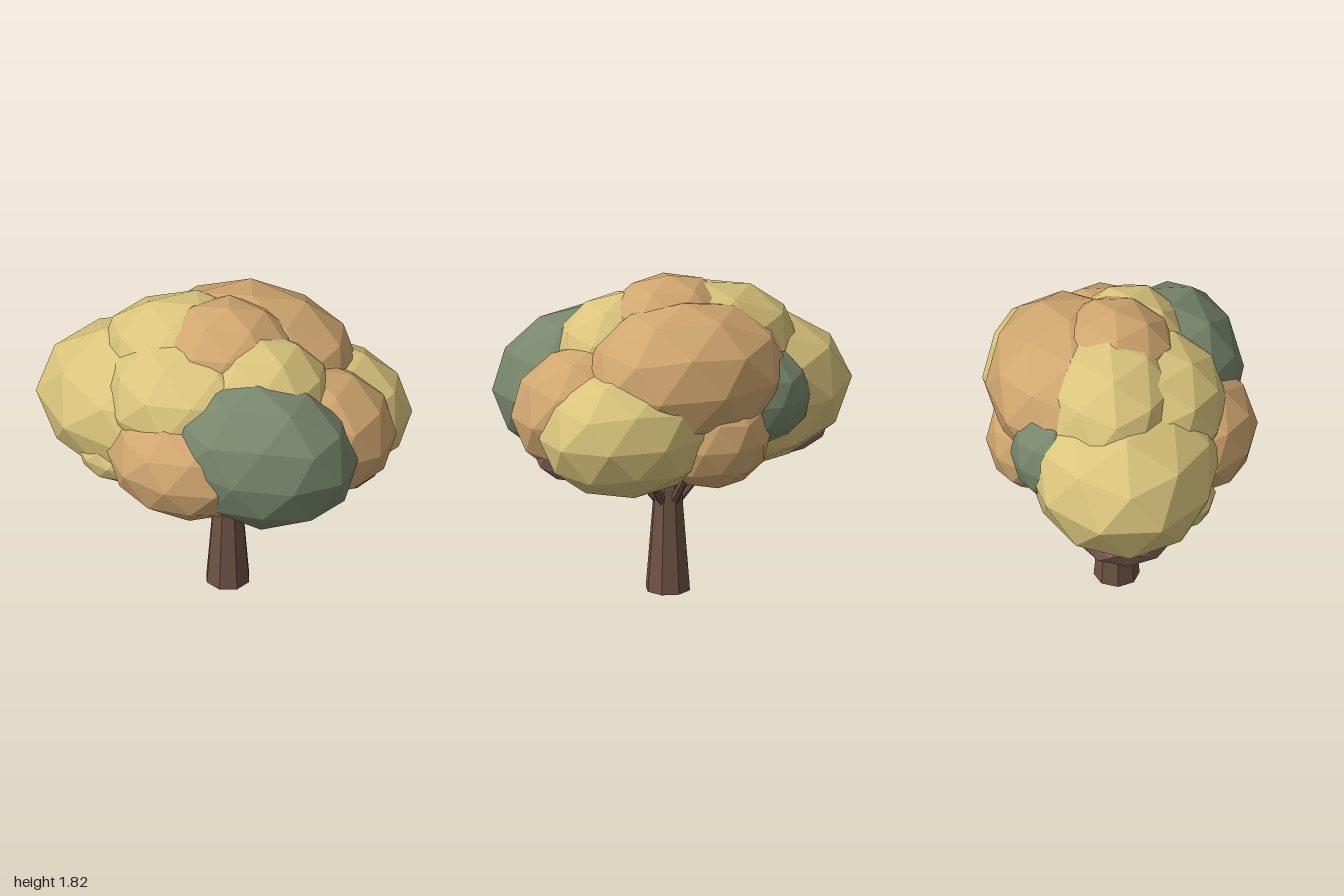
import * as THREE from 'three';

const COLORS = {
  yellow: 0xdac47c, orange: 0xd0a66f, green: 0x78876c, mauve: 0x8c695f, bark: 0x6f5344,
};
const materials = {};
for (const key in COLORS) {
  materials[key] = new THREE.MeshStandardMaterial({ color: COLORS[key], flatShading: true });
}

// Leaf clumps: name, colour, centre, radii
const CLUMPS = [
  ['leftClump', 'yellow', [-0.29, 1.1, -0.025], [0.75, 0.45, 0.55]],
  ['upperLeftClump', 'yellow', [-0.13, 1.37, -0.08], [0.57, 0.39, 0.4]],
  ['upperFrontClump', 'yellow', [-0.08, 1.29, 0.17], [0.5, 0.37, 0.4]],
  ['upperRightClump', 'yellow', [0.29, 1.35, 0.06], [0.41, 0.38, 0.35]],
  ['topClump', 'orange', [0.06, 1.49, -0.04], [0.4, 0.33, 0.35]],
  ['upperBackClump', 'orange', [0.1, 1.32, -0.29], [0.61, 0.42, 0.46]],
  ['frontClump', 'orange', [-0.01, 1.06, 0.37], [0.46, 0.33, 0.37]],
  ['frontRightClump', 'green', [0.37, 1.16, 0.3], [0.57, 0.44, 0.39]],
  ['rightClump', 'orange', [0.53, 1.13, -0.06], [0.49, 0.38, 0.39]],
  ['backRightClump', 'yellow', [0.47, 1.08, -0.34], [0.53, 0.37, 0.4]],
  ['smallBackClump', 'orange', [0.02, 1.0, -0.48], [0.32, 0.28, 0.27]],
  ['smallBackLeftClump', 'green', [-0.32, 1.17, -0.41], [0.28, 0.27, 0.23]],
  ['smallFrontClump', 'yellow', [-0.45, 0.93, 0.25], [0.25, 0.17, 0.23]],
  ['lowerRightClump', 'mauve', [0.65, 0.96, -0.1], [0.28, 0.21, 0.24]],
  ['lowerLeftClump', 'mauve', [-0.56, 0.86, -0.03], [0.36, 0.18, 0.31]],
];

// Faceted ellipsoid with a corner at its top and bottom
const TIP_UP = 0.5536;
function makeClump([name, color, center, radii]) {
  const geometry = new THREE.IcosahedronGeometry(1, 1);
  geometry.rotateZ(TIP_UP);
  geometry.scale(...radii);
  const mesh = new THREE.Mesh(geometry, materials[color]);
  mesh.name = name;
  mesh.position.set(...center);
  return mesh;
}

// Tapered limb between two points
function makeLimb(name, from, to, r0, r1, sides) {
  const a = new THREE.Vector3(...from), b = new THREE.Vector3(...to);
  const dir = b.clone().sub(a);
  const mesh = new THREE.Mesh(
    new THREE.CylinderGeometry(r1, r0, dir.length(), sides), materials.bark);
  mesh.name = name;
  mesh.position.copy(a).add(b).multiplyScalar(0.5);
  mesh.quaternion.setFromUnitVectors(new THREE.Vector3(0, 1, 0), dir.normalize());
  return mesh;
}

export function createModel() {
  const tree = new THREE.Group();
  tree.name = 'tree';

  // Trunk
  const tx = 0.06, tz = -0.03;
  tree.add(makeLimb('trunk', [tx, 0, tz], [tx, 0.66, tz], 0.126, 0.073, 8));

  // Branches spreading out into the crown
  const branches = new THREE.Group();
  branches.name = 'branches';
  const count = 6;
  for (let i = 0; i < count; i++) {
    const angle = 0.45 + (i / count) * Math.PI * 2;
    const c = Math.cos(angle), s = Math.sin(angle);
    branches.add(makeLimb('branch',
      [tx + 0.05 * c, 0.51, tz + 0.05 * s],
      [tx + 0.34 * c, 0.85, tz + 0.28 * s], 0.026, 0.018, 6));
  }
  branches.add(makeLimb('frontBranch', [0.04, 0.54, 0.04], [0.02, 0.85, 0.16], 0.024, 0.018, 6));
  tree.add(branches);

  // Crown
  const crown = new THREE.Group();
  crown.name = 'crown';
  for (const clump of CLUMPS) crown.add(makeClump(clump));
  tree.add(crown);

  return tree;
}
